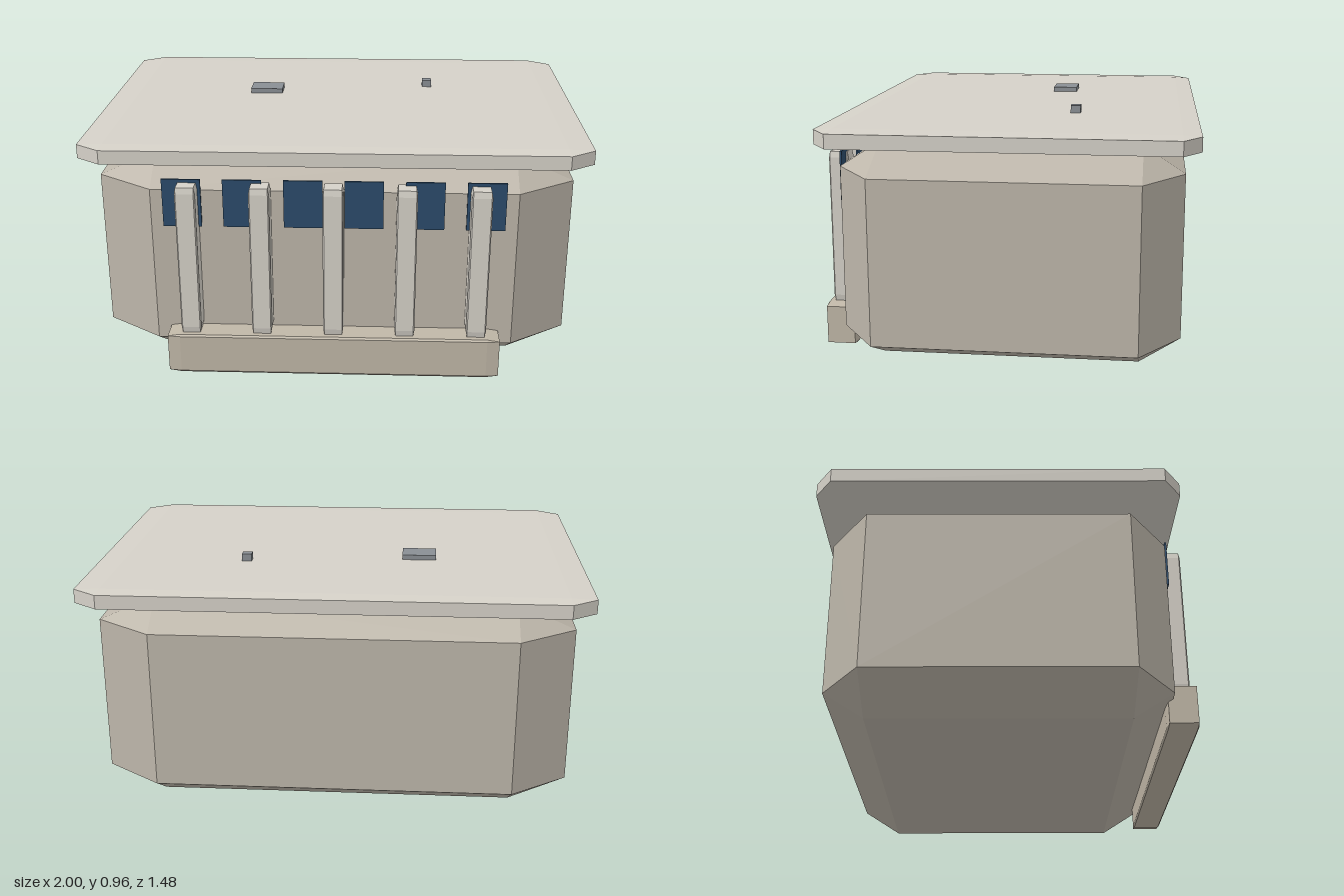
import * as THREE from 'three';
import { ConvexGeometry } from 'three/addons/geometries/ConvexGeometry.js';

const paint = (color) => new THREE.MeshStandardMaterial({ color, flatShading: true });

// Box from min/max corners, every edge chamfered by [cx, cy, cz]
function chamferBox(min, max, [cx, cy, cz]) {
  const mid = min.map((v, i) => (v + max[i]) / 2);
  const half = min.map((v, i) => (max[i] - v) / 2);
  const points = [];
  for (const sx of [-1, 1]) for (const sy of [-1, 1]) for (const sz of [-1, 1]) {
    const add = (ix, iy, iz) => points.push(new THREE.Vector3(
      mid[0] + sx * (half[0] - ix), mid[1] + sy * (half[1] - iy), mid[2] + sz * (half[2] - iz)));
    add(0, cy, cz);
    add(cx, 0, cz);
    add(cx, cy, 0);
  }
  return new ConvexGeometry(points);
}

function plainBox(min, max) {
  const geometry = new THREE.BoxGeometry(...max.map((v, i) => v - min[i]));
  return geometry.translate(...max.map((v, i) => (v + min[i]) / 2));
}

export function createModel() {
  const model = new THREE.Group();
  model.name = 'building';
  const wall = paint(0xbdb6aa);
  const trim = paint(0xd5d1c8);
  const stone = paint(0xc0b7a7);
  const glass = paint(0x2b4b6b);
  const metal = paint(0x8a8f94);

  const add = (name, geometry, material) => {
    const mesh = new THREE.Mesh(geometry, material);
    mesh.name = name;
    model.add(mesh);
  };

  // Main block with wide chamfers, and the overhanging roof slab
  add('mainBlock', chamferBox([-0.95, 0.003, -0.692], [0.95, 0.86, 0.64], [0.23, 0.103, 0.16]), wall);
  add('roofSlab', chamferBox([-1, 0.87, -0.742], [1, 0.934, 0.685], [0.1, 0.004, 0.07]), trim);

  // Front plinth
  add('plinth', chamferBox([-0.665, 0, 0.615], [0.665, 0.17, 0.74], [0.05, 0.008, 0.006]), stone);

  // Five columns standing on the plinth
  for (let i = -2; i <= 2; i++) {
    const x = i * 0.285;
    add('column', chamferBox([x - 0.04, 0.17, 0.638], [x + 0.04, 0.793, 0.718], [0.005, 0.025, 0.005]), trim);
  }

  // Six windows between and beside the columns
  for (let i = 0; i < 6; i++) {
    const x = (i - 2.5) * 0.2375;
    add('window', plainBox([x - 0.076, 0.61, 0.648], [x + 0.076, 0.806, 0.656]), glass);
  }

  // Rooftop equipment
  add('roofUnit', plainBox([-0.4, 0.93, -0.21], [-0.26, 0.954, -0.105]), metal);
  add('roofVent', plainBox([0.365, 0.93, -0.273], [0.405, 0.964, -0.233]), metal);

  return model;
}
